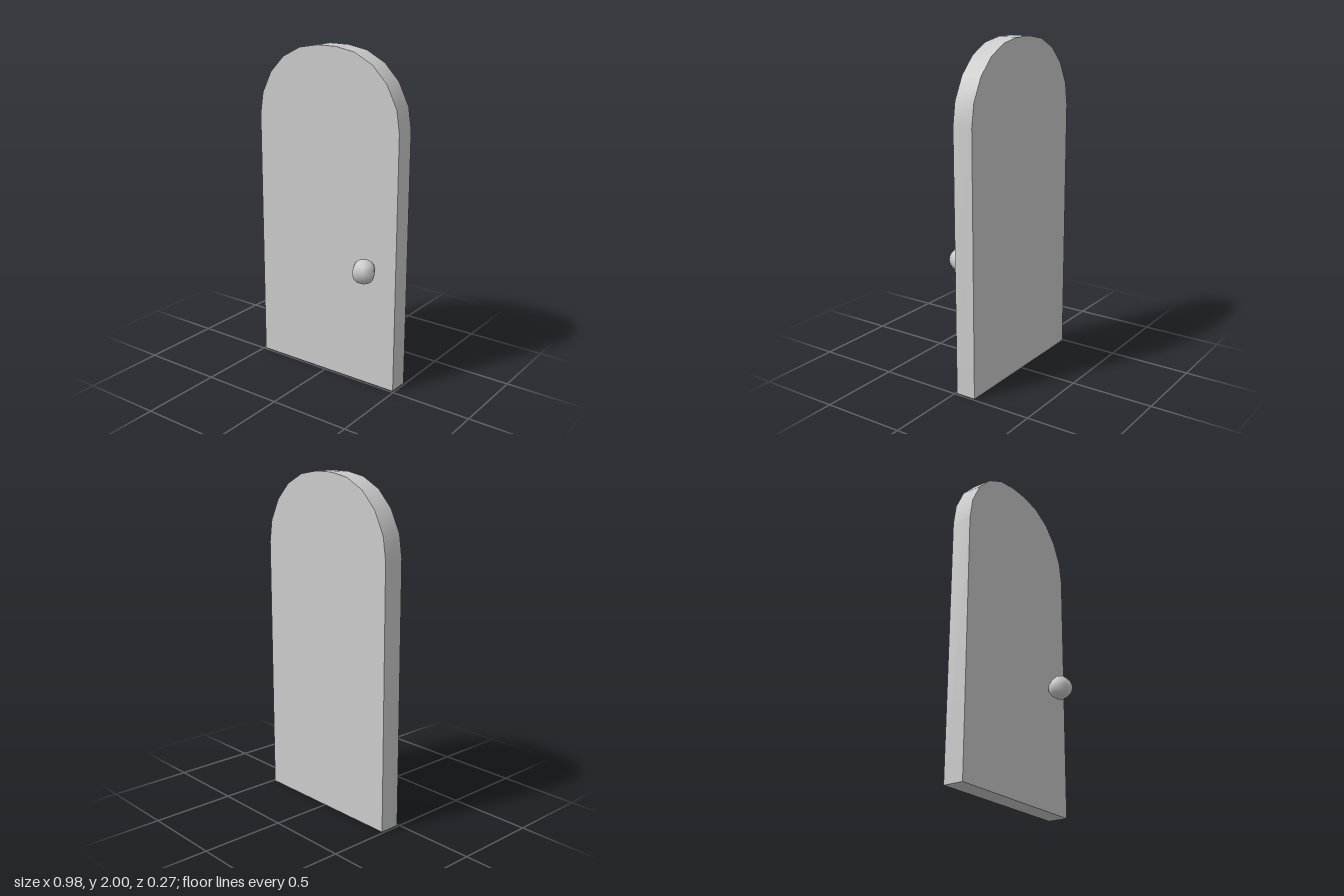
import * as THREE from 'three';
import { toCreasedNormals } from 'three/addons/utils/BufferGeometryUtils.js';

const material = new THREE.MeshStandardMaterial({ color: 0xcccccc });

function addMesh(group, name, geometry, x, y, z) {
  const mesh = new THREE.Mesh(geometry, material);
  mesh.name = name;
  mesh.position.set(x, y, z);
  group.add(mesh);
  return mesh;
}

export function createModel() {
  const model = new THREE.Group();
  model.name = 'archedDoor';

  // Door panel: right half of the outline, mirrored to the left
  const half = [
    [0.49, 0], [0.49, 1.56], [0.47, 1.69], [0.405, 1.82],
    [0.31, 1.917], [0.19, 1.978], [0.063, 2],
  ];
  const mirrored = half.map(([x, y]) => [-x, y]).reverse();
  const outline = [...half, ...mirrored].map(([x, y]) => new THREE.Vector2(x, y));
  const panel = new THREE.ExtrudeGeometry(new THREE.Shape(outline), {
    depth: 0.123, bevelEnabled: false,
  });
  addMesh(model, 'doorPanel', toCreasedNormals(panel, Math.PI / 6), 0, 0, -0.134);

  // Knob: six sides around the vertical axis
  const handle = new THREE.Group();
  handle.name = 'doorHandle';
  handle.position.set(0.324, 0.75, 0);
  model.add(handle);
  addMesh(handle, 'knob', new THREE.SphereGeometry(0.073, 6, 16), 0, 0, 0.068);

  // Short stem between panel and knob
  const stem = new THREE.CylinderGeometry(0.011, 0.011, 0.03, 12).rotateX(Math.PI / 2);
  addMesh(handle, 'knobStem', stem, 0, 0, 0);

  return model;
}
